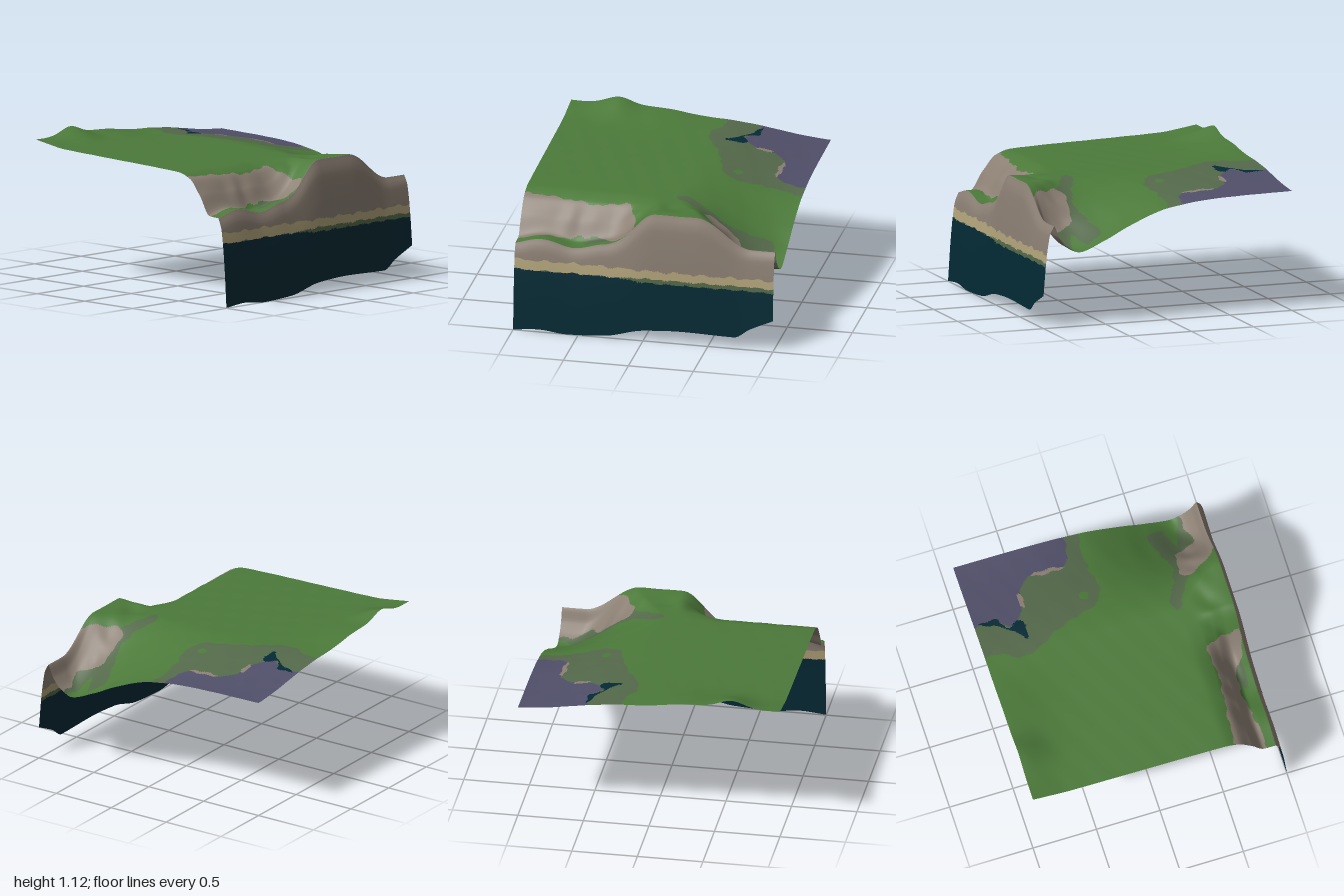
import * as THREE from 'three';

const { smoothstep, lerp } = THREE.MathUtils;
const bump = (d, width) => Math.exp(-((d / width) ** 2));

// Monotone cubic curve through [position, value] points
function curve(points) {
  const n = points.length;
  const slope = [];
  for (let i = 0; i < n - 1; i++) {
    slope.push((points[i + 1][1] - points[i][1]) / (points[i + 1][0] - points[i][0]));
  }
  const m = points.map((_, i) => {
    if (i === 0) return slope[0];
    if (i === n - 1) return slope[n - 2];
    const a = slope[i - 1], b = slope[i];
    return a * b <= 0 ? 0 : (2 * a * b) / (a + b);
  });
  return (p) => {
    let i = 0;
    while (i < n - 2 && p > points[i + 1][0]) i++;
    const w = points[i + 1][0] - points[i][0];
    const t = (p - points[i][0]) / w, t2 = t * t, t3 = t2 * t;
    return (2 * t3 - 3 * t2 + 1) * points[i][1] + (t3 - 2 * t2 + t) * w * m[i] +
      (3 * t2 - 2 * t3) * points[i + 1][1] + (t3 - t2) * w * m[i + 1];
  };
}

// Height along z of the terrace side, the central headland and the valley side
const terrace = curve([[-1, 1.06], [-0.7, 1.02], [0, 0.998], [0.5, 0.98], [0.62, 0.94], [0.72, 0.83], [0.82, 0.7], [1, 0.695]]);
const headland = curve([[-1, 1.01], [0, 0.995], [0.5, 0.985], [0.7, 0.985], [0.9, 1], [1, 1]]);
const valley = curve([[-1, 0.915], [-0.4, 0.9], [0, 0.85], [0.3, 0.74], [0.5, 0.64], [0.71, 0.57], [0.8, 0.605], [0.87, 0.68], [0.92, 0.78], [1, 0.78]]);

// Sea cliff: its foot along x, and its fall from rim (1) to foot (0) along z
const RIM = 0.915;
const foot = curve([[-1, 0.003], [-0.8, 0.02], [-0.6, 0], [-0.3, 0.015], [0, 0.083], [0.3, 0.1], [0.7, 0.092], [0.82, 0.165], [1, 0.25]]);
const cliffFall = curve([[RIM, 1], [0.945, 0.89], [0.965, 0.69], [0.98, 0.45], [1, 0]]);

function landHeight(x, z) {
  // The headland is narrow at the sea and widens inland
  const inland = 1 - smoothstep(z, -0.5, 0.5), sea = smoothstep(z, 0.5, 0.9);
  const toHeadland = smoothstep(x, -0.32 - 0.7 * inland, 0.08);
  const toValley = smoothstep(x, 0.15 + 0.25 * sea, 1.05 - 0.23 * sea);
  const ledgeWave = 0.025 * Math.cos((x + 0.8) * 12.5) * smoothstep(z, 0.72, 0.85);
  const y = lerp(lerp(terrace(z) + ledgeWave, headland(z), toHeadland), valley(z), toValley);
  // Hilltop on the back edge with a long shoulder, and gullies on the inner cliffs
  const hill = 0.065 * bump(x + 0.63, 0.14) * bump(z + 1, 0.2);
  const shoulder = 0.035 * bump(x + 0.28, 0.28) * bump(z + 1, 0.3);
  const ripple = 0.001 * Math.sin(x * 23 + z * 9) * Math.sin(z * 21 - x * 7);
  const gully = 0.008 * bump(z - 0.73, 0.07) * Math.sin(x * 26 + Math.sin(x * 11) + z * 8);
  return y + hill + shoulder + ripple + gully;
}

// Rounded outlines of ground cover, through a few [x, z] points
function outline(points) {
  const path = new THREE.CatmullRomCurve3(points.map(([x, z]) => new THREE.Vector3(x, 0, z)), true);
  return path.getPoints(points.length * 5);
}
const pool = outline([[0.485, -0.97], [0.48, -0.81], [0.39, -0.76], [0.43, -0.65], [0.27, -0.64], [0.36, -0.74], [0.44, -0.85]]);
const slate = outline([[0.49, -1.1], [0.47, -0.81], [0.38, -0.72], [0.46, -0.64], [0.66, -0.57], [0.76, -0.5], [0.78, -0.18], [1.1, -0.18], [1.3, -1.2]]);
const backScrub = outline([[0.2, -1.1], [0.21, -0.9], [0.13, -0.72], [0.29, -0.35], [0.43, -0.02], [0.75, -0.04], [1.2, -0.07], [1.3, -1.2]]);
const valleyScrub = outline([[0.14, 0.5], [0.2, 0.465], [0.52, 0.58], [0.87, 0.49], [0.92, 0.61], [0.76, 0.68], [1.1, 0.8], [0.8, 0.85], [0.32, 0.61]]);
const rightRock = outline([[0.41, 0.64], [0.65, 0.65], [0.76, 0.82], [0.92, 0.78], [1.2, 0.82], [1.1, 0.92], [0.57, 0.92]]);
const leftRock = outline([[-1.1, 0.625], [-0.4, 0.645], [-0.19, 0.63], [-0.1, 0.91], [-0.23, 0.89], [-0.4, 0.79], [-1.1, 0.83]]);

function inside(loop, x, z) {
  let hit = false;
  loop.forEach((a, i) => {
    const b = loop[(i + 1) % loop.length];
    if ((a.z > z) !== (b.z > z) && x < a.x + ((z - a.z) / (b.z - a.z)) * (b.x - a.x)) hit = !hit;
  });
  return hit;
}
const inEllipse = (x, z, cx, cz, rx, rz) => ((x - cx) / rx) ** 2 + ((z - cz) / rz) ** 2 < 1;

// Which ground cover lies at a point
function coverAt(x0, y, z0) {
  const wave = 0.006 * Math.sin(x0 * 31) + 0.005 * Math.sin(x0 * 57 + 1);
  // Level bands on the sea cliff; scrub grows along the shore on the valley side
  if (z0 > RIM) {
    if (y > 0.56 + wave) return 'rock';
    const scrubTop = 0.484 + 0.014 * smoothstep(x0, -0.25, 0) + wave * 0.6;
    if (y > scrubTop) return 'sand';
    const shore = 0.486 - 0.02 * smoothstep(x0, -0.25, 0) + 0.004 * Math.sin(x0 * 43);
    return y > shore ? 'scrub' : 'water';
  }
  // Patches on the land
  const x = x0 + 0.007 * Math.sin(z0 * 47), z = z0 + wave;
  if (inside(pool, x, z)) return 'water';
  if (inEllipse(x, z, 0.58, -0.6, 0.065, 0.02) || inEllipse(x, z, 0.76, -0.34, 0.018, 0.13)) return 'rock';
  if (inside(slate, x, z)) return 'slate';
  if (inEllipse(x, z, 0.48, -0.13, 0.035, 0.04)) return 'grass';
  if (inside(leftRock, x, z) || inside(rightRock, x, z)) return 'rock';
  if (inEllipse(x, z, -0.36, 0.83, 0.13, 0.04)) return 'scrub';
  return inside(backScrub, x, z) || inside(valleyScrub, x, z) ? 'scrub' : 'grass';
}

export function createModel() {
  const parts = {
    grass: ['grassland', 0x4c7a3a],
    scrub: ['scrubland', 0x54694a],
    rock: ['rockFaces', 0x8c8074],
    sand: ['sandBand', 0xb2a47b],
    water: ['deepWater', 0x042a35],
    slate: ['slatePlateau', 0x504f69],
  };

  // Grid lines: denser towards the steep sea cliff
  const cols = 220;
  const zs = [];
  for (let i = 0; i < 100; i++) zs.push(-1 + (1.6 * i) / 100);
  for (let i = 0; i < 40; i++) zs.push(0.6 + ((RIM - 0.6) * i) / 40);
  for (let i = 0; i <= 120; i++) zs.push(RIM + ((1 - RIM) * i) / 120);

  // Land surface, falling to the sea beyond the cliff rim
  const position = new Float32Array(zs.length * (cols + 1) * 3);
  for (let j = 0; j <= cols; j++) {
    const x = -1 + (2 * j) / cols;
    const rimHeight = landHeight(x, RIM);
    zs.forEach((z, i) => {
      const y = z > RIM ? lerp(foot(x), rimHeight, cliffFall(z)) : landHeight(x, z);
      position.set([x, y, z], (i * (cols + 1) + j) * 3);
    });
  }

  // Sort triangles by ground cover
  const all = [];
  const byCover = Object.fromEntries(Object.keys(parts).map((k) => [k, []]));
  const addTriangle = (...tri) => {
    const mid = [0, 1, 2].map((k) => tri.reduce((s, v) => s + position[v * 3 + k], 0) / 3);
    byCover[coverAt(...mid)].push(...tri);
    all.push(...tri);
  };
  for (let i = 0; i < zs.length - 1; i++) {
    for (let j = 0; j < cols; j++) {
      const a = i * (cols + 1) + j, b = a + cols + 1;
      addTriangle(a, b, a + 1);
      addTriangle(b, b + 1, a + 1);
    }
  }

  // Smooth normals come from the whole sheet, so covers join without seams
  const sheet = new THREE.BufferGeometry();
  sheet.setAttribute('position', new THREE.BufferAttribute(position, 3));
  sheet.setIndex(all);
  sheet.computeVertexNormals();

  const group = new THREE.Group();
  group.name = 'coastalTerrain';
  for (const [cover, [name, color]] of Object.entries(parts)) {
    const material = new THREE.MeshStandardMaterial({ color, side: THREE.DoubleSide });
    material.name = cover;
    sheet.setIndex(byCover[cover]);
    const mesh = new THREE.Mesh(sheet.toNonIndexed(), material);
    mesh.name = name;
    group.add(mesh);
  }
  return group;
}
